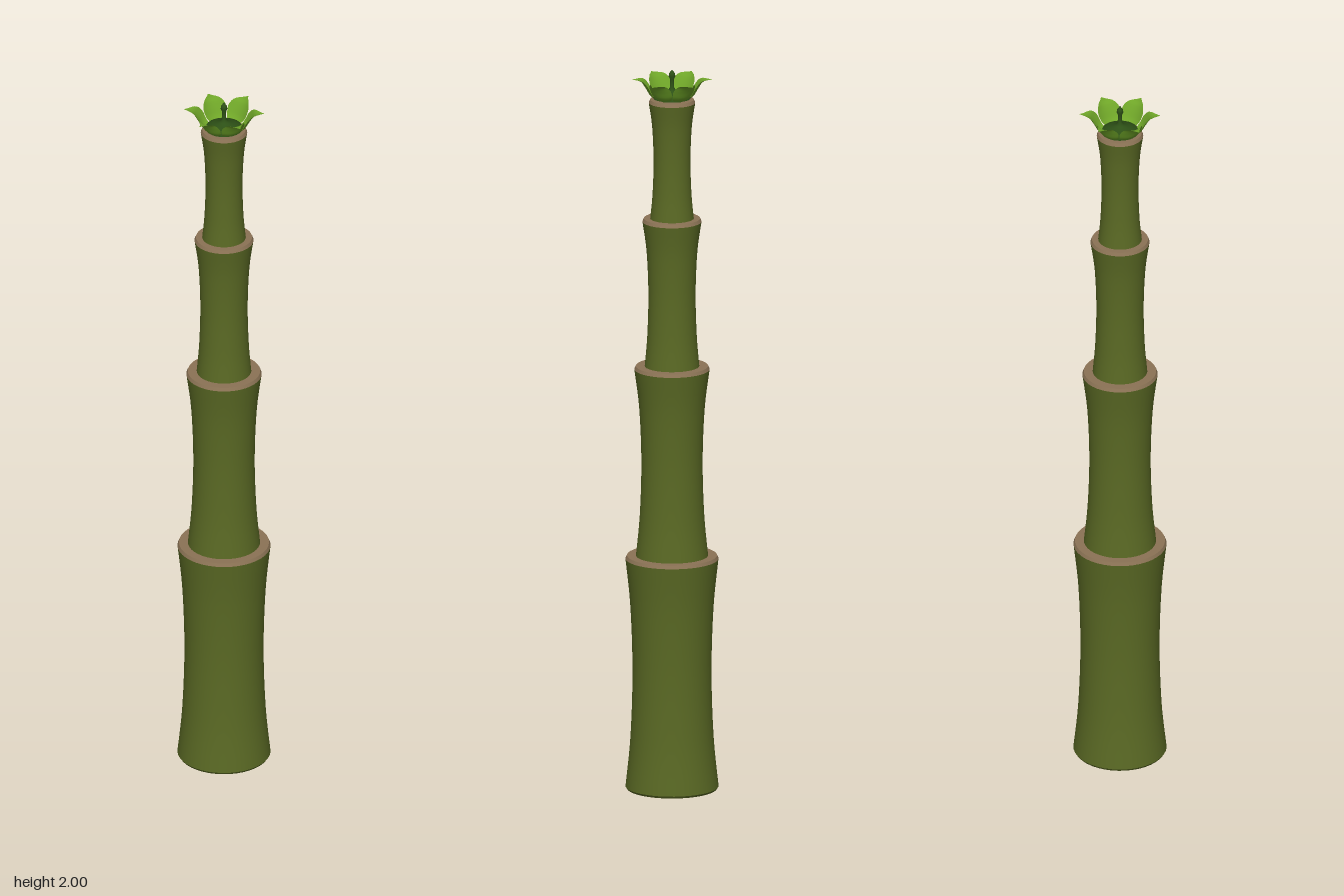
import * as THREE from 'three';

const mat = (name, color, side = THREE.FrontSide) => {
  const m = new THREE.MeshStandardMaterial({ color, side });
  m.name = name;
  return m;
};

const lathe = (pts) => new THREE.LatheGeometry(pts.map(([r, y]) => new THREE.Vector2(r, y)), 40);

// Cupped pointed leaf, swept along an outward-curling midrib (local +x is outward)
function leafGeometry() {
  const rib = new THREE.CatmullRomCurve3([
    [0.04, 1.916], [0.058, 1.927], [0.072, 1.95], [0.086, 1.968], [0.109, 1.972],
  ].map(([x, y]) => new THREE.Vector3(x, y, 0)));
  const widths = new THREE.SplineCurve([0.017, 0.028, 0.033, 0.023, 0.001]
    .map((w, i) => new THREE.Vector2(i / 4, w)));
  const along = 14, across = 8;
  const geo = new THREE.PlaneGeometry(1, 1, across, along);
  const pos = geo.attributes.position;
  for (let i = 0; i < pos.count; i++) {
    const s = pos.getX(i) * 2;
    const t = 0.5 - pos.getY(i);
    const p = rib.getPoint(t);
    const w = widths.getPoint(t).y;
    const cup = s * s * w * 0.25;
    pos.setXYZ(i, p.x - cup, p.y + cup * 0.5, s * w);
  }
  geo.computeVertexNormals();
  return geo;
}

export function createModel() {
  const model = new THREE.Group();
  const stalk = mat('stalk green', 0x5a6924);
  const wood = mat('cut wood tan', 0x8b7355);
  const leafMat = mat('leaf green', 0x6fa528, THREE.DoubleSide);
  const budMat = mat('bud dark green', 0x2d5016);

  const add = (name, geo, material, parent = model) => {
    const mesh = new THREE.Mesh(geo, material);
    mesh.name = name;
    parent.add(mesh);
    return mesh;
  };

  // Stalk sections: bottom y, top y, bottom, waist and top radius
  [
    [0, 0.648, 0.126, 0.107, 0.126],
    [0.64, 1.175, 0.098, 0.083, 0.102],
    [1.168, 1.586, 0.074, 0.064, 0.08],
    [1.58, 1.917, 0.059, 0.05, 0.063],
  ].forEach(([y0, y1, r0, waist, r1], i) => {
    const section = new THREE.Group();
    section.name = `stalkSection${i + 1}`;
    model.add(section);
    const h = y1 - y0, lip = 0.006;
    const wall = new THREE.SplineCurve([
      [r0, y0 + lip], [waist + (r0 - waist) * 0.3, y0 + h * 0.22], [waist, y0 + h * 0.5],
      [waist + (r1 - waist) * 0.3, y0 + h * 0.78], [r1, y1 - lip * 1.5],
    ].map(([r, y]) => new THREE.Vector2(r, y))).getPoints(20);
    add('stalkWall', new THREE.LatheGeometry(wall, 40), stalk, section);
    // Bevelled cut end on top
    add('stalkRim', new THREE.CylinderGeometry(r1 - 0.004, r1, lip * 1.5, 40), wood, section)
      .position.y = y1 - lip * 0.75;
    if (i === 0) {
      add('baseBevel', lathe([[r0 - 0.004, 0], [r0, lip]]), stalk, section);
      add('baseCut', new THREE.CircleGeometry(r0 - 0.004, 40).rotateX(Math.PI / 2), wood, section);
    }
  });

  // Crown of six leaves
  const crown = new THREE.Group();
  crown.name = 'leafCrown';
  model.add(crown);
  const leaf = leafGeometry();
  for (let i = 0; i < 6; i++) {
    add('leaf', leaf, leafMat, crown).rotation.y = -THREE.MathUtils.degToRad(33 + i * 60);
  }

  // Central bud with a thin knobbed tip
  add('bud', lathe([
    [0.05, 1.92], [0.048, 1.927], [0.03, 1.934], [0.012, 1.941], [0.006, 1.95],
    [0.005, 1.972], [0.009, 1.981], [0.008, 1.989], [0.003, 1.996], [0, 2.0],
  ]), budMat, crown);

  return model;
}
